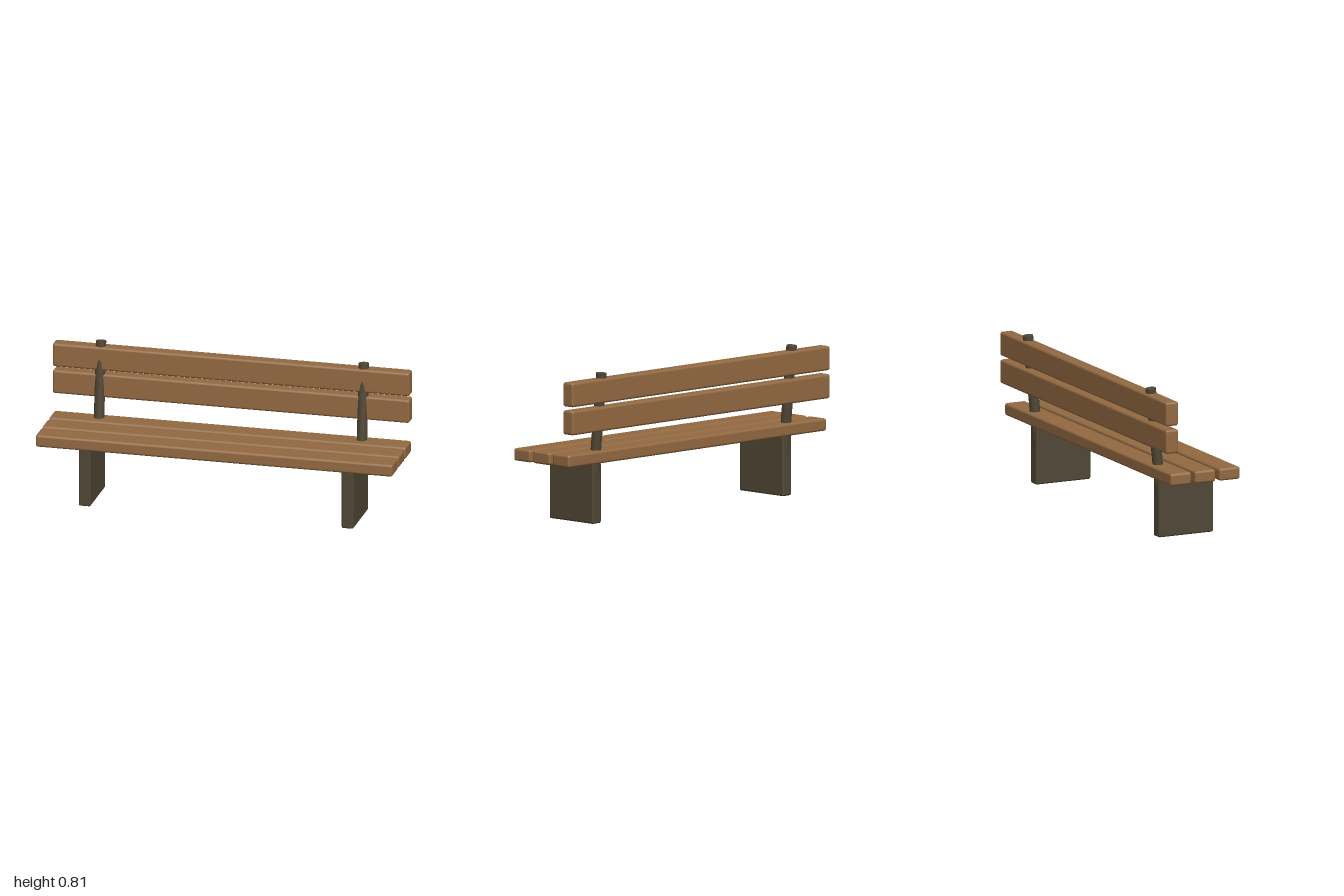
import * as THREE from 'three';
import { RoundedBoxGeometry } from 'three/addons/geometries/RoundedBoxGeometry.js';

export function createModel() {
  const wood = new THREE.MeshStandardMaterial({ name: 'wood', color: 0x936a42 });
  const darkMetal = new THREE.MeshStandardMaterial({ name: 'darkMetal', color: 0x504735 });

  const bench = new THREE.Group();
  bench.name = 'bench';

  const addBox = (name, material, [w, h, d], [x, y, z], radius) => {
    const mesh = new THREE.Mesh(new RoundedBoxGeometry(w, h, d, 2, radius), material);
    mesh.name = name;
    mesh.position.set(x, y, z);
    bench.add(mesh);
  };

  // Three seat slats, front to back
  for (const z of [0.16, 0.0155, -0.129]) {
    addBox('seatSlat', wood, [1.95, 0.067, 0.123], [0, 0.36, z], 0.013);
  }

  // Two backrest slats
  for (const y of [0.568, 0.718]) {
    addBox('backSlat', wood, [1.95, 0.13, 0.075], [0, y, -0.181], 0.013);
  }

  // Slab legs and the leaning posts that rise from them
  const bottom = new THREE.Vector3(0, 0.17, -0.116);
  const top = new THREE.Vector3(0, 0.809, -0.181);
  const lean = top.clone().sub(bottom);
  for (const side of [-1, 1]) {
    const x = side * 0.718;
    addBox('slabLeg', darkMetal, [0.066, 0.327, 0.325], [x, 0.1635, 0.0138], 0.01);

    const post = new THREE.Mesh(new THREE.CylinderGeometry(0.028, 0.028, lean.length(), 16), darkMetal);
    post.name = 'backPost';
    post.position.copy(bottom).add(top).multiplyScalar(0.5).setX(x);
    post.rotation.x = Math.atan2(lean.z, lean.y);
    bench.add(post);
  }

  // The bench stands turned a little about the vertical
  bench.rotation.y = -0.2072;

  const model = new THREE.Group();
  model.name = 'parkBench';
  model.add(bench);
  return model;
}
